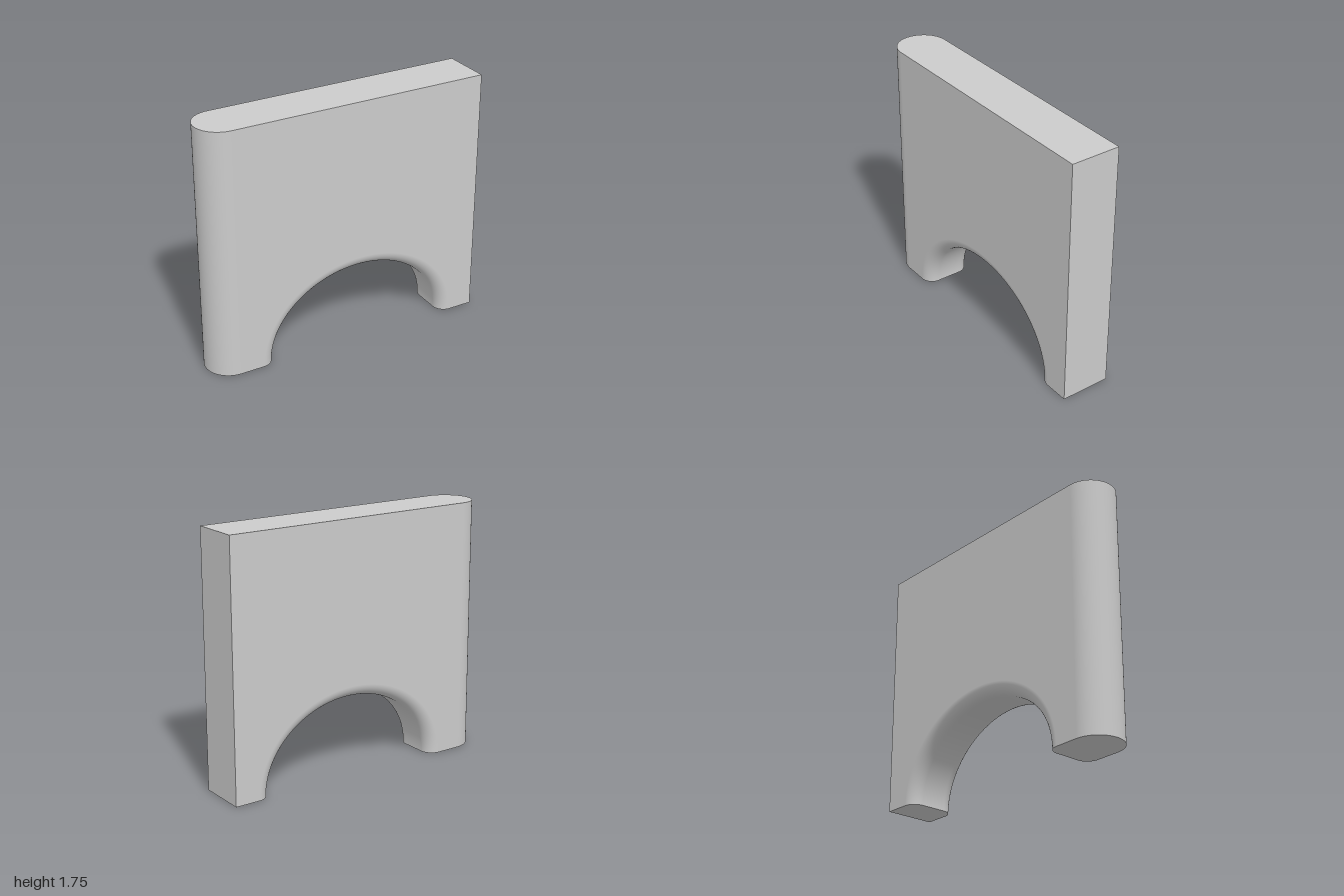
import * as THREE from 'three';

const H = 1.755, D = 0.175;            // wall height, half thickness
const END = -1 + D;                    // centre of the rounded end
const CX = 0.085, RX = 0.655, RY = 0.545, FILLET = 0.085; // arch

const material = new THREE.MeshStandardMaterial({ color: 0xcccccc });

function part(name, geometry) {
  const mesh = new THREE.Mesh(geometry, material);
  mesh.name = name;
  return mesh;
}

// Cross-section of the arch edge: d = depth into the wall, with normal (nd, nz)
function edgeProfile(steps = 12) {
  const front = [];
  for (let i = 0; i <= steps; i++) {
    const a = (1 - i / steps) * Math.PI / 2;
    front.push({
      d: FILLET * (1 - Math.cos(a)), z: D - FILLET + FILLET * Math.sin(a),
      nd: -Math.cos(a), nz: Math.sin(a),
    });
  }
  const back = front.map(p => ({ ...p, z: -p.z, nz: -p.nz })).reverse();
  return [...front, ...back];
}

// Point on the elliptical arch offset outward by d, with its outward direction
function archPoint(t, d) {
  const n = new THREE.Vector2(Math.cos(t) / RX, Math.sin(t) / RY).normalize();
  const p = new THREE.Vector2(CX + RX * Math.cos(t), RY * Math.sin(t)).addScaledVector(n, d);
  return { p, n };
}

// Arch underside, with rounded edges on both faces
function archGeometry(profile, segments = 96) {
  const pos = [], nor = [], index = [], m = profile.length;
  for (let i = 0; i <= segments; i++) {
    for (const s of profile) {
      const { p, n } = archPoint(Math.PI * i / segments, s.d);
      pos.push(p.x, p.y, s.z);
      nor.push(n.x * s.nd, n.y * s.nd, s.nz);
    }
  }
  for (let i = 0; i < segments; i++) {
    for (let j = 0; j < m - 1; j++) {
      const a = i * m + j, b = a + m;
      index.push(a, b, a + 1, b, b + 1, a + 1);
    }
  }
  const g = new THREE.BufferGeometry();
  g.setAttribute('position', new THREE.Float32BufferAttribute(pos, 3));
  g.setAttribute('normal', new THREE.Float32BufferAttribute(nor, 3));
  g.setIndex(index);
  return g;
}

// Flat wall face, cut out where the arch fillet begins
function faceGeometry(segments = 96) {
  const pts = [new THREE.Vector2(1, 0), new THREE.Vector2(1, H),
    new THREE.Vector2(END, H), new THREE.Vector2(END, 0)];
  for (let i = segments; i >= 0; i--) pts.push(archPoint(Math.PI * i / segments, FILLET).p);
  return new THREE.ShapeGeometry(new THREE.Shape(pts));
}

// Half-round plan outline of the wall end
function roundEnd(shape) {
  shape.absarc(END, 0, D, Math.PI / 2, Math.PI * 1.5, false);
  return shape;
}

export function createModel() {
  const group = new THREE.Group();
  group.name = 'archedWall';
  const profile = edgeProfile();

  // Front and back faces
  group.add(part('frontFace', faceGeometry().translate(0, 0, D)));
  const back = faceGeometry();
  const idx = back.index.array;
  for (let i = 0; i < idx.length; i += 3) [idx[i], idx[i + 1]] = [idx[i + 1], idx[i]];
  back.computeVertexNormals();
  group.add(part('backFace', back.translate(0, 0, -D)));

  // Arch opening
  group.add(part('archUnderside', archGeometry(profile)));

  // Rounded end and square end
  group.add(part('roundedEnd', new THREE.CylinderGeometry(D, D, H, 48, 1, true, Math.PI, Math.PI)
    .translate(END, H / 2, 0)));
  group.add(part('squareEnd', new THREE.PlaneGeometry(2 * D, H)
    .rotateY(Math.PI / 2).translate(1, H / 2, 0)));

  // Top
  const top = roundEnd(new THREE.Shape());
  top.lineTo(1, -D);
  top.lineTo(1, D);
  group.add(part('top', new THREE.ShapeGeometry(top, 48).rotateX(-Math.PI / 2).translate(0, H, 0)));

  // Soles of the two feet
  const rightFoot = roundEnd(new THREE.Shape());
  for (const s of [...profile].reverse()) rightFoot.lineTo(CX - RX - s.d, s.z);
  const leftFoot = new THREE.Shape([new THREE.Vector2(1, -D), new THREE.Vector2(1, D),
    ...profile.map(s => new THREE.Vector2(CX + RX + s.d, s.z))]);
  group.add(part('rightFootSole', new THREE.ShapeGeometry(rightFoot, 48).rotateX(Math.PI / 2)));
  group.add(part('leftFootSole', new THREE.ShapeGeometry(leftFoot).rotateX(Math.PI / 2)));

  return group;
}
